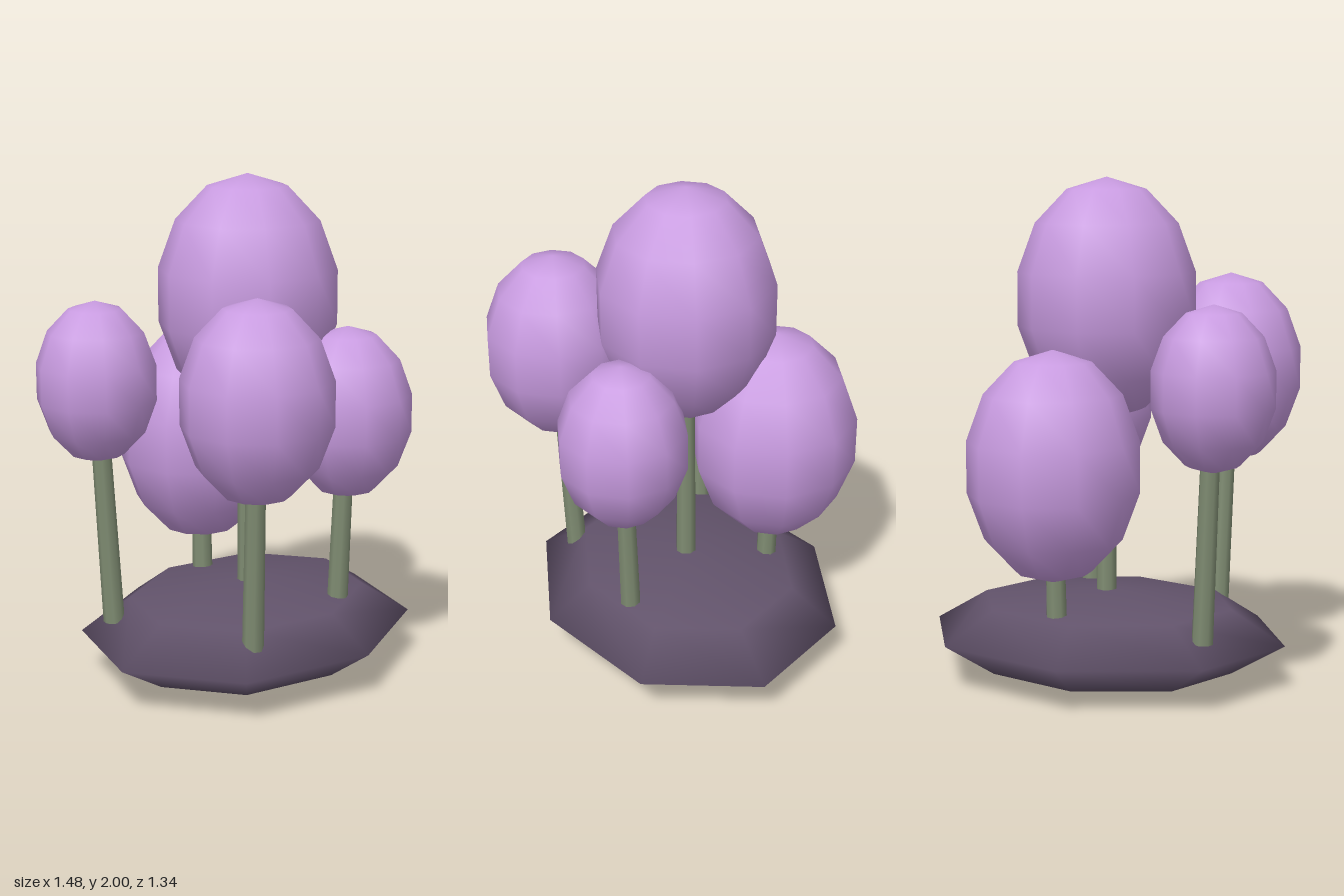
import * as THREE from 'three';

export function createModel() {
  const group = new THREE.Group();
  group.name = 'treeCluster';

  const material = (name, color) => {
    const m = new THREE.MeshStandardMaterial({ color });
    m.name = name;
    return m;
  };
  const leaf = material('lilac foliage', 0xc89be0);
  const bark = material('grey green bark', 0x7f8c72);
  const soil = material('dark purple soil', 0x62536b);

  const add = (name, geometry, mat) => {
    const mesh = new THREE.Mesh(geometry, mat);
    mesh.name = name;
    group.add(mesh);
    return mesh;
  };

  // Ground: a flattened low-poly spheroid
  const ground = add('ground', new THREE.SphereGeometry(1, 8, 4), soil);
  ground.scale.set(0.735, 0.182, 0.61);
  ground.position.y = 0.185;

  // Each tree: crown centre, crown radius, foot of the trunk
  const trees = [
    ['centre', [0, 1.525, 0], 0.359, [0, 0.25, 0]],
    ['back', [0.1, 0.905, -0.342], 0.34, [0.093, 0.25, -0.324]],
    ['frontRight', [-0.403, 1.228, 0.385], 0.292, [-0.374, 0.25, 0.342]],
    ['frontLeft', [0.188, 1.078, 0.35], 0.259, [0.175, 0.25, 0.323]],
    ['backRight', [-0.522, 1.225, -0.317], 0.238, [-0.48, 0.25, -0.288]],
  ];
  const up = new THREE.Vector3(0, 1, 0);

  for (const [name, centre, radius, foot] of trees) {
    // Egg-shaped crown with ten sides, a corner pointing forward
    const top = new THREE.Vector3(...centre);
    const crown = add(name + 'Crown', new THREE.SphereGeometry(radius, 10, 7), leaf);
    crown.scale.y = 1.323;
    crown.rotation.y = Math.PI / 2;
    crown.position.copy(top);

    // Slightly leaning trunk reaching into the crown
    const base = new THREE.Vector3(...foot);
    const axis = top.clone().sub(base);
    const trunk = add(name + 'Trunk', new THREE.CylinderGeometry(0.036, 0.042, axis.length(), 8), bark);
    trunk.position.copy(base).addScaledVector(axis, 0.5);
    trunk.quaternion.setFromUnitVectors(up, axis.normalize());
  }
  return group;
}
